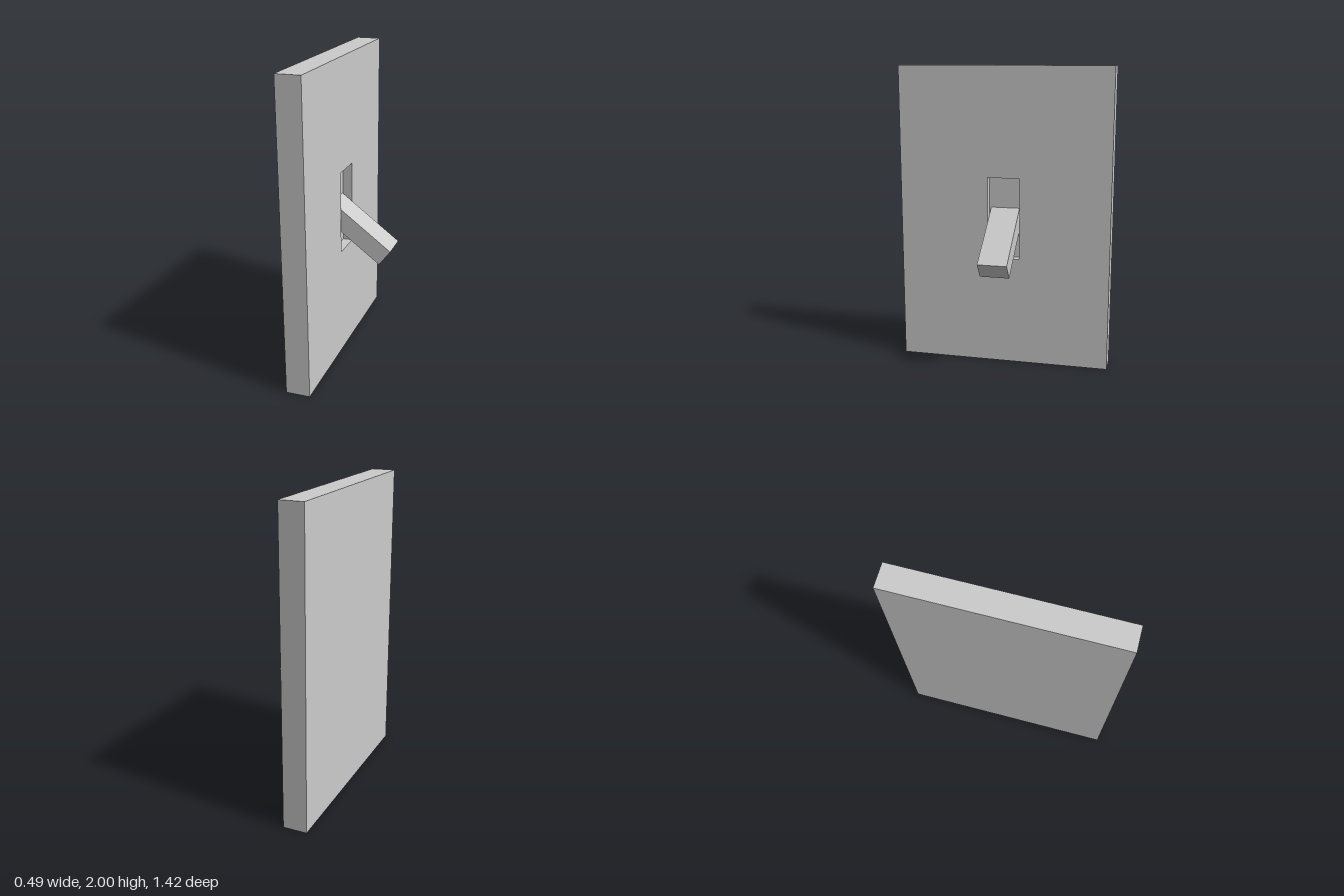
import * as THREE from 'three';

const material = new THREE.MeshStandardMaterial({ color: 0xcccccc, flatShading: true });

function addPart(group, name, geometry, x, y, z) {
  const mesh = new THREE.Mesh(geometry, material);
  mesh.name = name;
  mesh.position.set(x, y, z);
  group.add(mesh);
  return mesh;
}

// Closed rectangle centred on the origin
function rectangle(Type, width, height) {
  const w = width / 2, h = height / 2;
  return new Type([[-w, -h], [w, -h], [w, h], [-w, h]].map(([x, y]) => new THREE.Vector2(x, y)));
}

export function createModel() {
  const group = new THREE.Group();
  group.name = 'toggleSwitch';

  const backX = -0.245, faceX = -0.088, floorX = -0.15;
  const width = 1.42, height = 2;

  // Solid rear layer, which is also the floor of the slot
  addPart(group, 'plateBack', new THREE.BoxGeometry(floorX - backX, height, width),
    (backX + floorX) / 2, height / 2, 0);

  // Front layer of the plate with the rectangular slot cut through it
  const outline = rectangle(THREE.Shape, width, height);
  outline.holes.push(rectangle(THREE.Path, 0.216, 0.545));
  const face = new THREE.ExtrudeGeometry(outline, { depth: faceX - floorX, bevelEnabled: false });
  face.rotateY(Math.PI / 2);
  addPart(group, 'plateFace', face, floorX, height / 2, 0);

  // Lever sloping down out of the slot, its root buried in the plate
  const lever = addPart(group, 'lever', new THREE.BoxGeometry(0.507, 0.124, 0.193), 0.002, 0.871, 0);
  lever.rotation.z = -0.648;

  return group;
}
